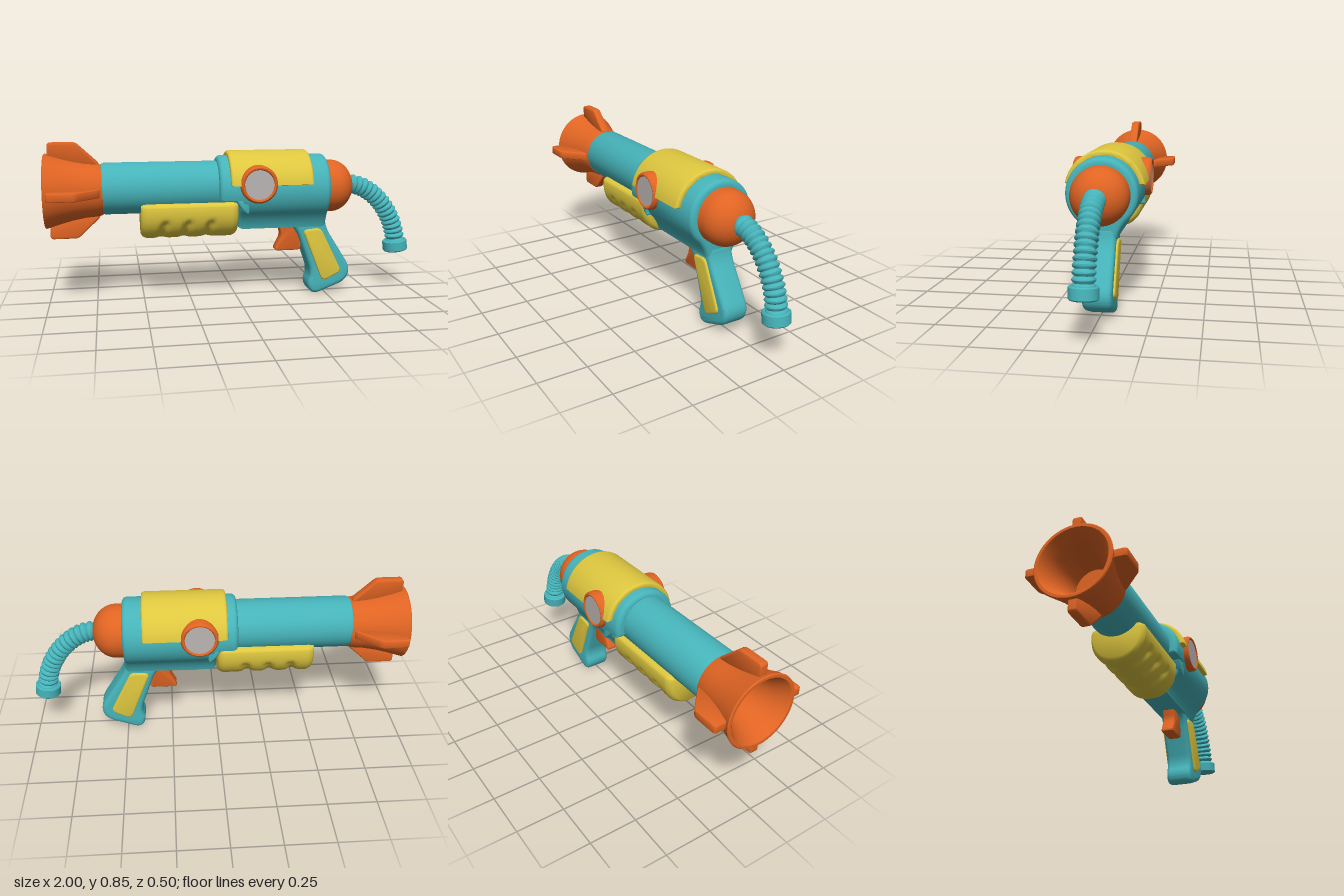
import * as THREE from 'three';
import { toCreasedNormals } from 'three/addons/utils/BufferGeometryUtils.js';
import { ParametricGeometry } from 'three/addons/geometries/ParametricGeometry.js';

const AXIS = 0.603; // height of the barrel axis
const BODY_Y = 0.597; // height of the body centre

export function createModel() {
  const model = new THREE.Group();
  const material = (name, color) => {
    const m = new THREE.MeshStandardMaterial({ color });
    m.name = name;
    return m;
  };
  const teal = material('teal', 0x46b4ba);
  const orange = material('orange', 0xe06423);
  const yellow = material('yellow', 0xdec73f);
  const grey = material('grey', 0xbab5b3);

  const add = (name, geometry, mat, parent = model) => {
    const mesh = new THREE.Mesh(geometry, mat);
    mesh.name = name;
    parent.add(mesh);
    return mesh;
  };

  // Polygon outline with rounded corners
  const rounded = (pts, r) => {
    const shape = new THREE.Shape();
    const v = pts.map(p => new THREE.Vector2(...p));
    v.forEach((p, i) => {
      const toward = q => {
        const d = q.clone().sub(p);
        return p.clone().add(d.setLength(Math.min(r, d.length() * 0.48)));
      };
      const a = toward(v[(i + v.length - 1) % v.length]);
      const b = toward(v[(i + 1) % v.length]);
      if (i === 0) shape.moveTo(a.x, a.y); else shape.lineTo(a.x, a.y);
      shape.quadraticCurveTo(p.x, p.y, b.x, b.y);
    });
    shape.closePath();
    return shape;
  };

  // Bevelled extrusion between two depths, outline kept to size
  const extrude = (shape, from, to, bevel) => {
    const g = new THREE.ExtrudeGeometry(shape, {
      depth: to - from - 2 * bevel, bevelEnabled: true, bevelThickness: bevel,
      bevelSize: bevel, bevelOffset: -bevel, bevelSegments: 4, curveSegments: 20,
    });
    g.translate(0, 0, from + bevel);
    return toCreasedNormals(g, 0.6);
  };
  const extrudeX = (...args) => extrude(...args).rotateY(Math.PI / 2);

  // Surface of revolution around the x axis from [x, radius] pairs
  const latheX = (pts, y) => {
    const g = new THREE.LatheGeometry(pts.map(([x, r]) => new THREE.Vector2(r, x)), 48);
    return toCreasedNormals(g.rotateZ(-Math.PI / 2).translate(0, y, 0), 0.6);
  };

  // Barrel
  add('barrel', latheX([[-0.715, 0], [-0.715, 0.12], [-0.708, 0.131], [-0.695, 0.136],
    [0.05, 0.136]], 0.61), teal);

  // Flared hollow muzzle with four fins
  add('muzzle', latheX([[-0.76, 0], [-0.76, 0.1], [-0.84, 0.112], [-0.92, 0.137], [-0.995, 0.17],
    [-1, 0.176], [-1, 0.19], [-0.995, 0.195], [-0.92, 0.172], [-0.86, 0.156], [-0.79, 0.143],
    [-0.73, 0.138], [-0.705, 0.132], [-0.7, 0.1]], AXIS), orange);
  const finShape = rounded([[-0.98, 0.18], [-0.87, 0.145], [-0.72, 0.12], [-0.72, 0.142],
    [-0.838, 0.252], [-0.98, 0.252]], 0.018);
  for (let i = 0; i < 4; i++) {
    const fin = add('muzzleFin', extrude(finShape, -0.0225, 0.0225, 0.007), orange);
    fin.position.y = AXIS;
    fin.rotation.x = i * Math.PI / 2;
  }

  // Main body: round above, narrowing down to the grip
  const bodyShape = new THREE.Shape();
  const a0 = -0.7;
  bodyShape.absarc(0, BODY_Y, 0.178, a0, Math.PI - a0, false);
  bodyShape.quadraticCurveTo(-0.092, 0.44, -0.076, 0.383);
  bodyShape.lineTo(0.076, 0.383);
  bodyShape.quadraticCurveTo(0.092, 0.44, 0.178 * Math.cos(a0), BODY_Y + 0.178 * Math.sin(a0));
  add('body', extrudeX(bodyShape, 0.005, 0.492, 0.025), teal);

  // Collar over the barrel, cut away below for the foregrip
  const collarShape = new THREE.Shape();
  collarShape.absarc(0, BODY_Y, 0.178, -0.25, Math.PI + 0.25, false);
  collarShape.closePath();
  add('bodyCollar', extrudeX(collarShape, -0.105, 0.1, 0.025), teal);
  for (const side of [-1, 1]) {
    // Curved step below the collar
    const step = rounded([[-0.03, 0.565], [0.05, 0.565], [0.05, 0.47], [0.012, 0.5]], 0.025);
    add('collarStep', extrude(step, 0.1, 0.165, 0.01), teal)
      .position.z = side > 0 ? 0 : -0.265;
  }

  // Top cover wrapped over the body
  const cover = new THREE.Shape();
  cover.absarc(0, BODY_Y, 0.203, 0.18, Math.PI - 0.18, false);
  cover.absarc(0, BODY_Y, 0.165, Math.PI - 0.18, 0.18, true);
  cover.closePath();
  add('topCover', extrudeX(cover, -0.05, 0.39, 0.014), yellow);

  // Round side gauges with a pale lens
  for (const side of [-1, 1]) {
    const gauge = new THREE.Group();
    gauge.name = 'sideGauge';
    gauge.position.set(0.096, 0.637, 0);
    if (side < 0) gauge.rotation.y = Math.PI;
    model.add(gauge);
    const profile = [[0.099, 0.1], [0.099, 0.19], [0.095, 0.2], [0.088, 0.205], [0.081, 0.203],
      [0.077, 0.196], [0, 0.196]].map(p => new THREE.Vector2(...p));
    const rim = new THREE.LatheGeometry(profile, 40).rotateX(Math.PI / 2);
    add('gaugeRim', toCreasedNormals(rim, 0.7), orange, gauge);
    const lens = new THREE.CylinderGeometry(0.077, 0.077, 0.006, 40).rotateX(Math.PI / 2);
    add('gaugeLens', lens, grey, gauge).position.z = 0.197;
  }

  // Foregrip: U-shaped section with three finger grooves on each side
  const ends = [[0, 0], [0, 0.86], [0.01, 0.94], [0.03, 1]];
  const N = 60;
  const foregrip = new ParametricGeometry((u, v, p) => {
    const i = Math.round(v * N), near = Math.min(i, N - i);
    const [inset, scale] = ends[Math.min(near, 3)];
    let x = near < 3 ? inset : 0.03 + 0.45 * (i - 3) / (N - 6);
    if (near < 3 && i > N / 2) x = 0.51 - inset;
    x -= 0.512;
    const t = u * Math.PI * 2, c = Math.cos(t), s = -Math.sin(t);
    let groove = 0;
    for (const gx of [-0.395, -0.275, -0.155]) {
      groove += Math.exp(-(((x - gx - 0.03 * (s + 0.6)) / 0.022) ** 2));
    }
    const low = THREE.MathUtils.smoothstep(-s, 0.2, 0.5);
    const fade = 1 - 0.65 * THREE.MathUtils.smoothstep(-s, 0.85, 1);
    const k = scale * (1 - 0.13 * groove * low * fade);
    const square = w => Math.sign(w) * Math.abs(w) ** 0.4;
    const z = s > 0 ? 0.145 * square(c) : 0.145 * Math.sign(c) * Math.abs(c) ** 0.9;
    const y = s > 0 ? 0.052 * square(s) : 0.15 * s;
    p.set(x, 0.49 + y * k, z * k);
  }, 64, N);
  add('foregrip', toCreasedNormals(foregrip, 0.8), yellow);

  // Pistol grip with inlaid side panels
  const gripShape = rounded([[0.27, 0.42], [0.335, 0.36], [0.42, 0.12], [0.395, 0.05], [0.43, -0.008],
    [0.62, 0.065], [0.645, 0.14], [0.5, 0.37], [0.49, 0.45], [0.3, 0.45]], 0.05);
  add('grip', extrude(gripShape, -0.072, 0.072, 0.024), teal);
  const panelShape = rounded([[0.362, 0.365], [0.465, 0.375], [0.588, 0.125], [0.48, 0.072]], 0.03);
  add('gripPanels', extrude(panelShape, -0.083, 0.083, 0.01), yellow);

  // Trigger
  const triggerShape = rounded([[0.23, 0.42], [0.255, 0.33], [0.212, 0.245], [0.365, 0.245],
    [0.365, 0.42]], 0.025);
  add('trigger', extrude(triggerShape, -0.035, 0.035, 0.01), orange);

  // Domed rear cap
  const dome = [[0.47, 0.143]];
  for (let i = 0; i <= 14; i++) {
    const t = i / 14 * Math.PI / 2;
    dome.push([0.53 + 0.125 * Math.sin(t), 0.143 * Math.cos(t)]);
  }
  add('rearDome', latheX(dome, BODY_Y), orange);

  // Ribbed hose
  const path = new THREE.CatmullRomCurve3([[0.62, 0.602], [0.68, 0.598], [0.75, 0.567], [0.82, 0.508],
    [0.875, 0.43], [0.91, 0.35], [0.928, 0.26]].map(([x, y]) => new THREE.Vector3(x, y, 0)));
  const rings = 160, sides = 24;
  const hose = new THREE.TubeGeometry(path, rings, 1, sides);
  const pos = hose.attributes.position, q = new THREE.Vector3();
  for (let i = 0; i < pos.count; i++) {
    const along = Math.floor(i / (sides + 1)) / rings;
    const centre = path.getPointAt(along);
    const radius = 0.041 + 0.013 * Math.abs(Math.sin(along * Math.PI * 17));
    q.fromBufferAttribute(pos, i).sub(centre).multiplyScalar(radius).add(centre);
    pos.setXYZ(i, q.x, q.y, q.z);
  }
  add('hose', toCreasedNormals(hose, 0.9), teal);

  // Hose end cap
  const capProfile = [[0, -0.031], [0.062, -0.031], [0.068, -0.025], [0.068, 0.025], [0.062, 0.031],
    [0, 0.031]].map(p => new THREE.Vector2(...p));
  const cap = add('hoseCap', toCreasedNormals(new THREE.LatheGeometry(capProfile, 36), 0.6), teal);
  cap.position.set(0.927, 0.247, 0);
  cap.rotation.z = 0.13;

  return model;
}
